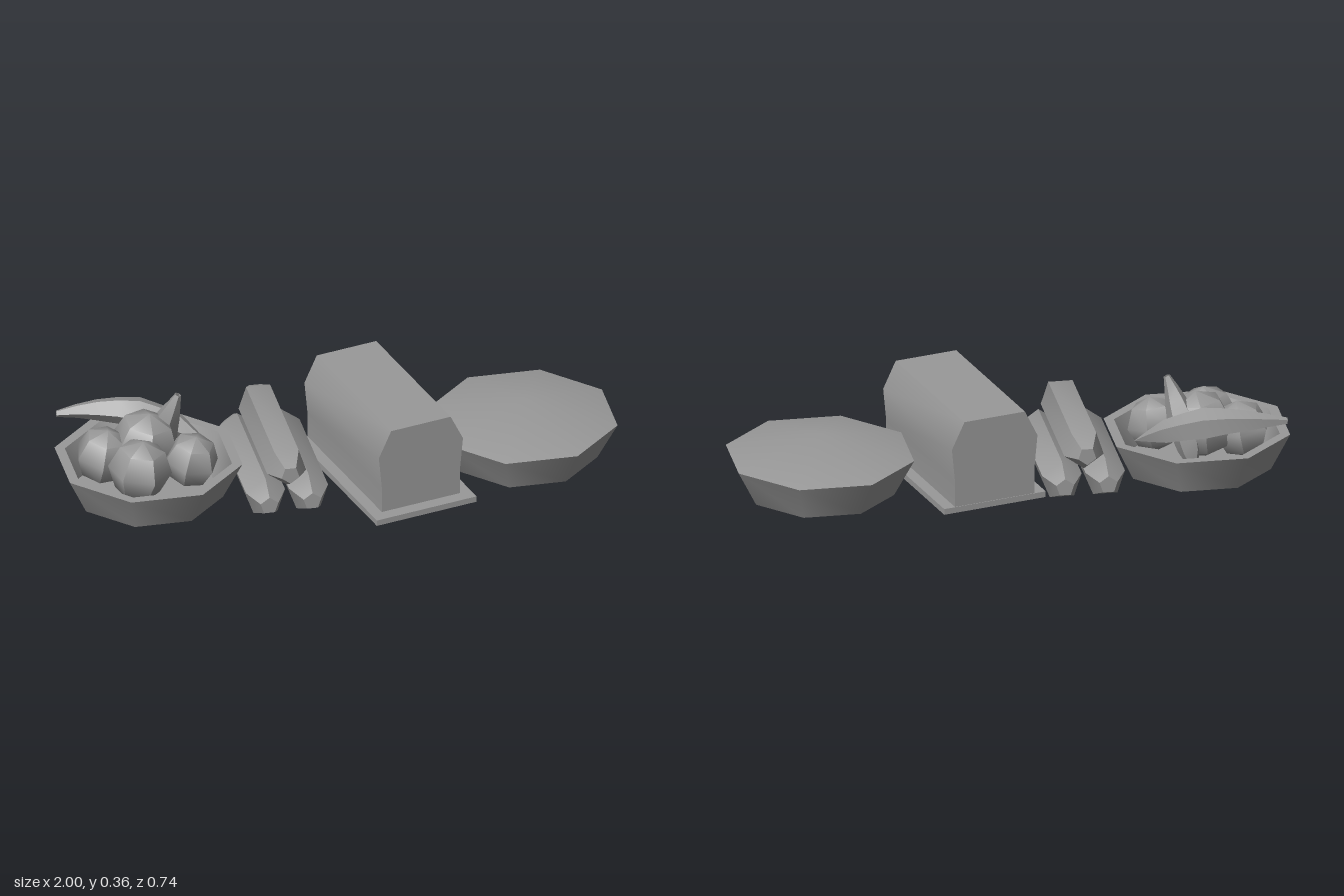
import * as THREE from 'three';
import { toCreasedNormals } from 'three/addons/utils/BufferGeometryUtils.js';

export function createModel() {
  const root = new THREE.Group();
  const clay = new THREE.MeshStandardMaterial({ color: 0x999999, side: THREE.DoubleSide });
  clay.name = 'plainGrey';

  function add(name, geometry, x = 0, y = 0, z = 0, crease = 0.8) {
    const mesh = new THREE.Mesh(toCreasedNormals(geometry, crease), clay);
    mesh.name = name;
    mesh.position.set(x, y, z);
    root.add(mesh);
    return mesh;
  }

  // Octagonal lathe with flats facing the axes; radii are given to the flats
  function octagon(profile) {
    const k = 1 / Math.cos(Math.PI / 8);
    return new THREE.LatheGeometry(profile.map(([r, y]) => new THREE.Vector2(r * k, y)), 8, Math.PI / 8);
  }

  // Tube along a path with a radius for each path point
  function taperedTube(path, radii, sides = 5, steps = 8) {
    const curve = new THREE.CatmullRomCurve3(path.map(p => new THREE.Vector3(...p)));
    const geo = new THREE.TubeGeometry(curve, steps, 1, sides);
    const pos = geo.attributes.position;
    const v = new THREE.Vector3();
    for (let i = 0; i < pos.count; i++) {
      const t = Math.floor(i / (sides + 1)) / steps;
      const f = t * (radii.length - 1);
      const a = Math.min(Math.floor(f), radii.length - 2);
      const r = THREE.MathUtils.lerp(radii[a], radii[a + 1], f - a);
      const c = curve.getPointAt(t);
      v.fromBufferAttribute(pos, i).sub(c).multiplyScalar(r).add(c);
      pos.setXYZ(i, v.x, v.y, v.z);
    }
    return geo;
  }

  // Pie: flared dish, open below, with a shallow domed crust
  add('pieDish', octagon([[0.25, 0], [0.318, 0.138]]), 0.68, 0, -0.052);
  add('pieCrust', octagon([[0.318, 0.138], [0, 0.213]]), 0.68, 0, -0.052);

  // Fruit bowl: outer wall, rim, inner wall and raised floor
  add('fruitBowl', octagon([[0.25, 0], [0.315, 0.14], [0.28, 0.14], [0.235, 0.02], [0, 0.02]]), -0.685, 0, -0.058);

  // Round fruit: centre, radius, turn
  [
    [-0.84, 0.14, -0.1, 0.105, 0.3],
    [-0.735, 0.14, 0.03, 0.115, 0.8],
    [-0.54, 0.14, 0, 0.1, 0.1],
    [-0.69, 0.17, -0.1, 0.125, 0.5],
  ].forEach(([x, y, z, r, turn]) => {
    const fruit = add('roundFruit', new THREE.SphereGeometry(r, 6, 4), x, y, z);
    fruit.rotation.set(0.15, turn, -0.15);
  });

  // Long fruit, one lying over the rim and one standing
  add('lyingLongFruit', taperedTube(
    [[-0.975, 0.23, -0.27], [-0.86, 0.235, -0.265], [-0.7, 0.225, -0.235], [-0.55, 0.18, -0.18], [-0.45, 0.12, -0.1]],
    [0.012, 0.04, 0.06, 0.045, 0]));
  add('standingLongFruit', taperedTube(
    [[-0.57, 0.36, -0.09], [-0.59, 0.3, -0.1], [-0.615, 0.21, -0.13], [-0.64, 0.1, -0.165], [-0.65, 0.008, -0.19]],
    [0.012, 0.04, 0.06, 0.045, 0]));

  // Stack of three five-sided loaves with tapered ends
  const loafProfile = [[0, -0.308], [0.034, -0.308], [0.075, -0.24], [0.075, 0.24], [0.034, 0.308], [0, 0.308]]
    .map(p => new THREE.Vector2(...p));
  [[-0.312, 0.067, Math.PI], [-0.155, 0.067, Math.PI], [-0.235, 0.184, 0]].forEach(([x, y, roll]) => {
    const geo = new THREE.LatheGeometry(loafProfile, 5);
    geo.rotateX(Math.PI / 2);
    geo.rotateZ(roll);
    add('longLoaf', geo, x, y, -0.047, 0.5);
  });

  // Bread on a board, turned together
  const turn = THREE.MathUtils.degToRad(13.8);
  const board = add('breadBoard', new THREE.BoxGeometry(0.396, 0.022, 0.655), 0.171, 0.011, 0.002);
  board.rotation.y = turn;

  const half = [[0.155, 0.022], [0.155, 0.12], [0.167, 0.245], [0.118, 0.345]];
  const outline = [...half, ...half.map(([x, y]) => [-x, y]).reverse()].map(p => new THREE.Vector2(...p));
  const breadGeo = new THREE.ExtrudeGeometry(new THREE.Shape(outline), { depth: 0.605, bevelEnabled: false });
  breadGeo.translate(0, 0, -0.325);
  const bread = add('breadLoaf', breadGeo, 0.171, 0, 0.002);
  bread.rotation.y = turn;

  return root;
}
